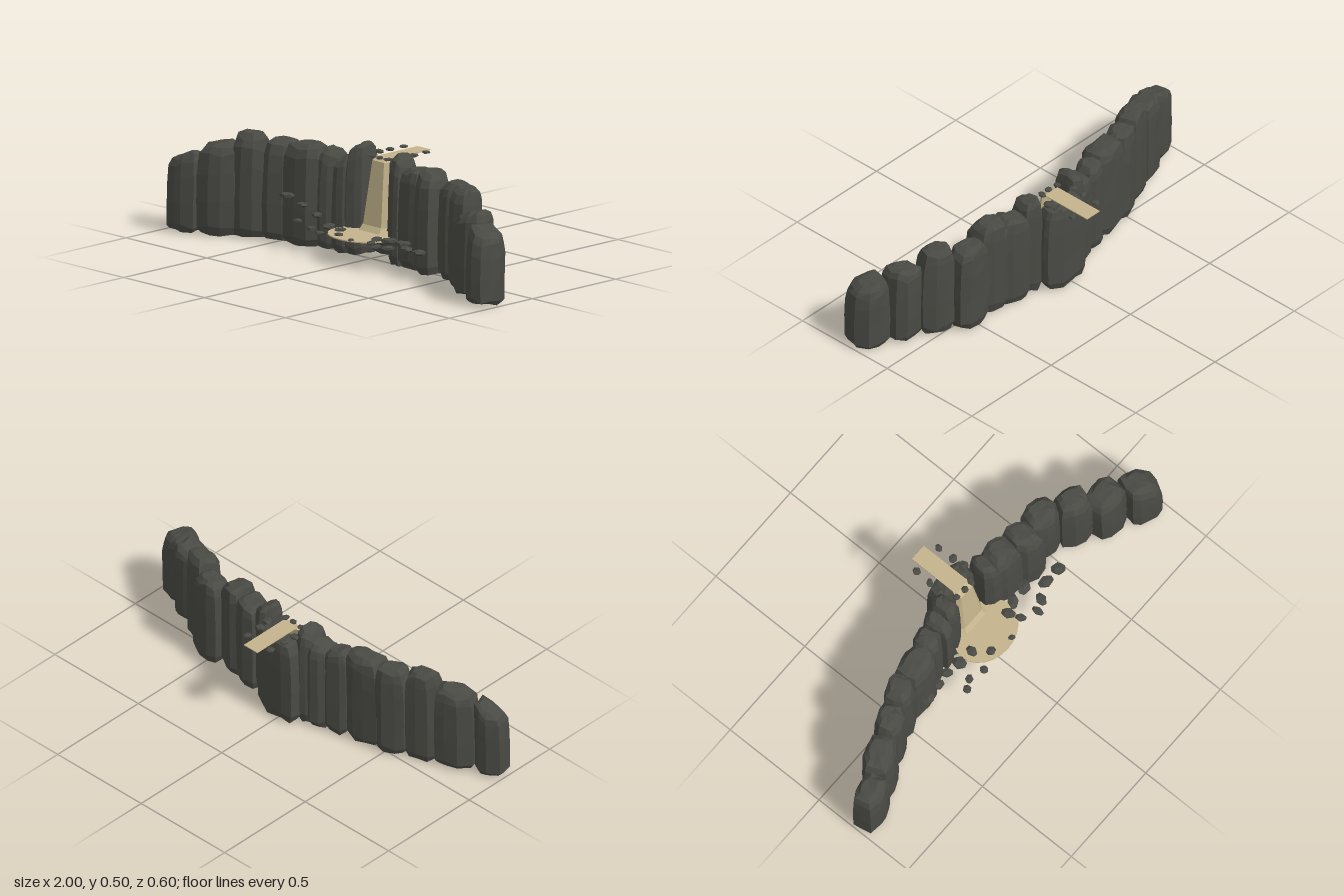
import * as THREE from 'three';

const rock = new THREE.MeshStandardMaterial({ color: 0x4a4a45 });
rock.name = 'dark rock';
const water = new THREE.MeshStandardMaterial({ color: 0xc4b48c, side: THREE.DoubleSide });
water.name = 'sandy water';

// small seeded random source, values -1..1
function seeded(seed) {
  let s = seed * 7919 + 17;
  return () => {
    s = (s * 16807) % 2147483647;
    return (s / 2147483647) * 2 - 1;
  };
}

function meshFrom(pos, index, material, name) {
  const indexed = new THREE.BufferGeometry();
  indexed.setAttribute('position', new THREE.Float32BufferAttribute(pos, 3));
  indexed.setIndex(index);
  const geo = indexed.toNonIndexed(); // faceted normals
  geo.computeVertexNormals();
  const mesh = new THREE.Mesh(geo, material);
  mesh.name = name;
  return mesh;
}

// Faceted stone column filling the given x and z range; slope tilts its top
// along x, turn is the heading of its footprint.
function column(x0, x1, z0, z1, h, slope, turn, seed) {
  const rnd = seeded(seed), N = 10;
  for (let i = 0; i < 5; i++) rnd();
  // rounded-box footprint, fitted to the range
  const foot = [];
  for (let k = 0; k < N; k++) {
    const a = ((k + 0.25 * rnd()) / N) * Math.PI * 2;
    const c = Math.cos(a), s = Math.sin(a);
    const r = (1 + 0.06 * rnd()) / Math.pow(c ** 4 + s ** 4, 0.25);
    const u = c * r, v = s * r * 0.85;
    foot.push([u * Math.cos(turn) - v * Math.sin(turn), u * Math.sin(turn) + v * Math.cos(turn)]);
  }
  const fit = (i) => {
    const lo = Math.min(...foot.map((p) => p[i])), hi = Math.max(...foot.map((p) => p[i]));
    foot.forEach((p) => { p[i] = ((p[i] - lo) / (hi - lo)) * 2 - 1; });
  };
  fit(0);
  fit(1);
  const cx = (x0 + x1) / 2, cz = (z0 + z1) / 2, hx = (x1 - x0) / 2, hz = (z1 - z0) / 2;
  // height fraction, width, backward shift
  const rows = [[0, 0.8, 0], [0.09, 0.97, 0], [0.38, 1, 0], [0.68, 0.98, -0.003],
    [0.87, 0.92, -0.006], [0.96, 0.78, -0.01], [1, 0.48, -0.014]];
  const pos = [], index = [];
  rows.forEach(([f, w, back], i) => {
    for (const [u, v] of foot) {
      const q = w * (1 + 0.025 * rnd());
      const px = u * q * hx, pz = v * q * hz;
      const jitter = i === 0 ? 0.008 * (rnd() + 1) : i < 6 ? 0.012 * rnd() : 0.004 * rnd();
      const tilt = f > 0.5 ? slope * px * (f - 0.5) * 2 : 0;
      pos.push(cx + px, f * h + jitter + tilt, cz + pz + back);
    }
  });
  const bottom = pos.length / 3, top = bottom + 1;
  pos.push(cx, 0, cz, cx, h, cz - 0.014);
  for (let k = 0; k < N; k++) {
    const n = (k + 1) % N, last = (rows.length - 1) * N;
    for (let i = 0; i < rows.length - 1; i++) {
      const a = i * N + k, b = i * N + n;
      index.push(a, a + N, b, b, a + N, b + N);
    }
    index.push(bottom, k, n, top, last + n, last + k);
  }
  return meshFrom(pos, index, rock, 'cliffColumn');
}

function pebble(x, y, z, size, seed) {
  const rnd = seeded(seed + 50);
  for (let i = 0; i < 5; i++) rnd();
  const mesh = new THREE.Mesh(new THREE.DodecahedronGeometry(1, 0), rock);
  mesh.scale.set(size * (1 + 0.2 * rnd()), size * 0.4, size * (0.85 + 0.15 * rnd()));
  mesh.rotation.y = rnd() * 3;
  mesh.position.set(x, y, z);
  mesh.name = 'pebble';
  return mesh;
}

export function createModel() {
  const model = new THREE.Group();
  model.name = 'waterfallCliff';

  // curved wall of stone columns: x0, x1, z0, z1, height, top slope, turn
  const cliff = new THREE.Group();
  cliff.name = 'cliff';
  [
    [-1.0, -0.83, 0.155, 0.29, 0.345, 0.4, -0.1],
    [-0.88, -0.67, 0.07, 0.24, 0.41, 0.15, -0.4],
    [-0.72, -0.55, 0.025, 0.17, 0.465, -0.1, -0.4],
    [-0.59, -0.42, -0.03, 0.125, 0.45, 0, -0.4],
    [-0.47, -0.27, -0.055, 0.1, 0.455, 0, -0.15],
    [-0.31, -0.18, -0.085, 0.06, 0.44, -0.2, -0.2],
    [-0.21, -0.1, -0.11, 0.05, 0.435, 0.3, -0.2],
    [-0.15, -0.055, -0.12, 0.04, 0.485, 0.5, -0.2],
    [-0.1, 0.14, -0.172, -0.045, 0.43, 0, 0],
    [0.11, 0.21, -0.11, 0.04, 0.475, -0.4, 0.2],
    [0.18, 0.34, -0.11, 0.05, 0.44, 0.1, 0.2],
    [0.3, 0.45, -0.09, 0.085, 0.455, -0.2, 0.2],
    [0.42, 0.6, -0.09, 0.06, 0.425, 0, 0.15],
    [0.55, 0.73, -0.02, 0.13, 0.44, 0, 0.4],
    [0.68, 0.855, 0.05, 0.21, 0.37, 0.25, 0.1],
    [0.83, 1.0, 0.11, 0.295, 0.33, -0.25, 0.4],
  ].forEach((c, i) => cliff.add(column(...c, i + 1)));
  model.add(cliff);

  // stream running to the lip
  const stream = new THREE.Mesh(new THREE.BoxGeometry(0.08, 0.004, 0.25), water);
  stream.position.set(0.02, 0.442, -0.175);
  stream.name = 'stream';
  model.add(stream);

  // falling sheet: rows of y, z, outer half width, inner half width
  const pos = [], index = [];
  [[0.444, -0.05, 0.04, 0.03], [0.43, -0.025, 0.05, 0.036],
    [0.15, 0.012, 0.075, 0.056], [0.125, 0.03, 0.08, 0.062]].forEach(([y, z, o, n], r) => {
    pos.push(0.02 - o, y, z - 0.02, 0.02 - n, y, z, 0.02 + n, y, z, 0.02 + o, y, z - 0.02);
    if (r) for (let k = 0; k < 3; k++) {
      const a = (r - 1) * 4 + k;
      index.push(a, a + 4, a + 1, a + 1, a + 4, a + 5);
    }
  });
  model.add(meshFrom(pos, index, water, 'waterfall'));

  // pool at the foot of the fall
  const pool = new THREE.Mesh(new THREE.CylinderGeometry(0.16, 0.16, 0.005, 24), water);
  pool.scale.z = 0.78;
  pool.position.set(0.022, 0.123, 0.082);
  pool.name = 'pool';
  model.add(pool);

  // loose stones around the pool, the stream and the lip
  const stones = new THREE.Group();
  stones.name = 'stones';
  [
    [-0.4, 0.23, 0.115, 0.036], [-0.32, 0.2, 0.1, 0.028], [-0.245, 0.165, 0.085, 0.03],
    [-0.165, 0.13, 0.09, 0.034], [-0.09, 0.128, 0.095, 0.03], [-0.245, 0.16, 0.2, 0.022],
    [-0.195, 0.13, 0.17, 0.024], [-0.12, 0.126, 0.19, 0.022], [-0.035, 0.126, 0.158, 0.027],
    [0.07, 0.126, 0.187, 0.02], [0.165, 0.126, 0.158, 0.022], [0.235, 0.128, 0.195, 0.025],
    [0.285, 0.128, 0.172, 0.028], [0.2, 0.13, 0.085, 0.034], [0.28, 0.13, 0.08, 0.034],
    [0.36, 0.128, 0.135, 0.035], [0.44, 0.128, 0.138, 0.032], [0.145, 0.128, 0.105, 0.032],
    [-0.05, 0.447, -0.247, 0.02], [0.092, 0.447, -0.243, 0.02], [-0.055, 0.447, -0.17, 0.022],
    [0.095, 0.447, -0.165, 0.024], [-0.06, 0.447, -0.11, 0.026], [0.1, 0.447, -0.11, 0.026],
    [-0.03, 0.445, -0.04, 0.02], [0.02, 0.445, -0.035, 0.02], [0.065, 0.445, -0.04, 0.02],
  ].forEach((s, i) => stones.add(pebble(...s, i)));
  model.add(stones);

  return model;
}
